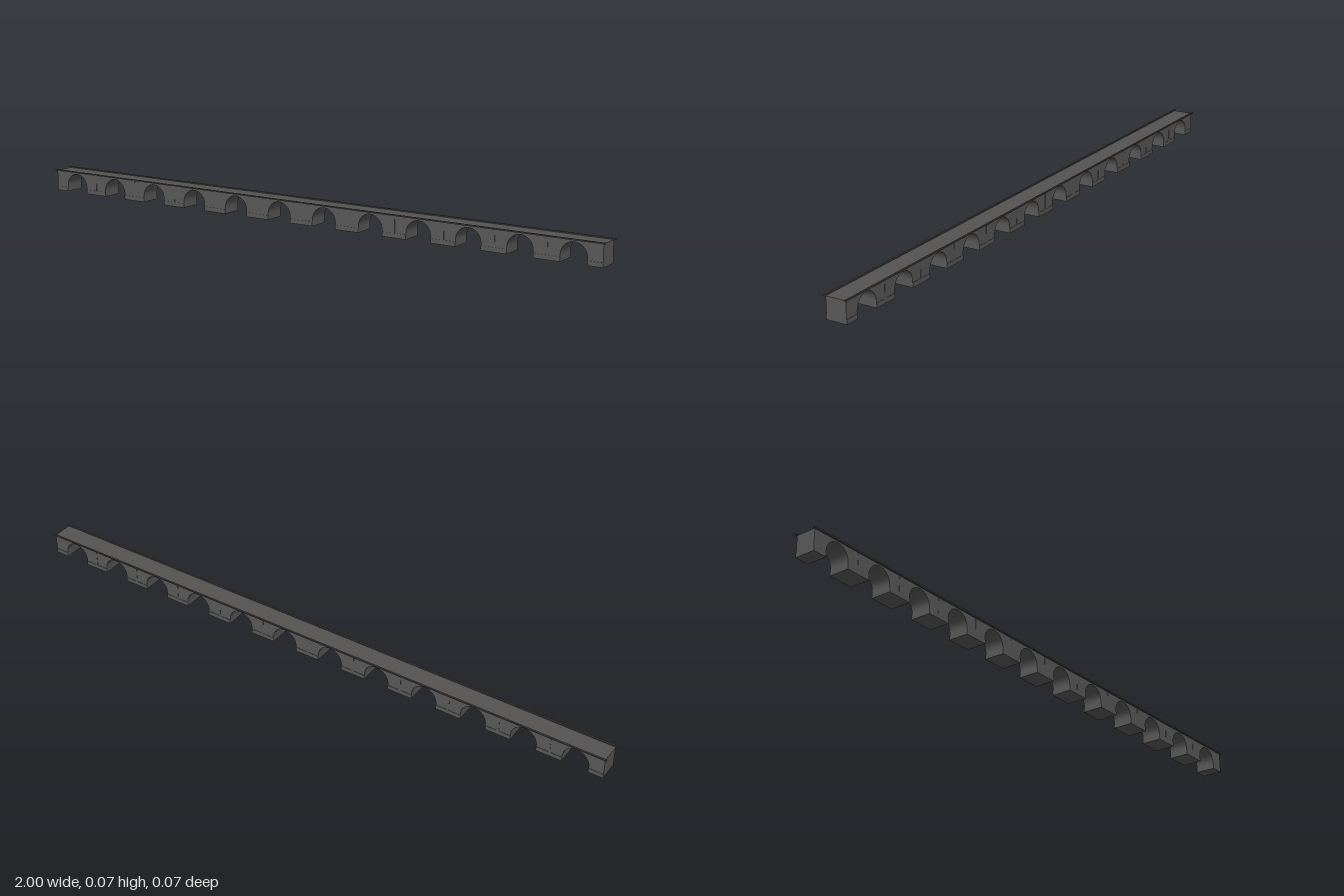
import * as THREE from 'three';

const ARCHES = 12, STEP = 0.165, RADIUS = 0.0415, SPRING = 0.02;
const TOP = 0.066, HALF_WIDTH = 0.0325;

export function createModel() {
  const bridge = new THREE.Group();
  bridge.name = 'viaduct';
  const stone = new THREE.MeshStandardMaterial({ color: 0x5a5a5a, flatShading: true });
  const paving = new THREE.MeshStandardMaterial({ color: 0x555452, flatShading: true });
  const iron = new THREE.MeshStandardMaterial({ color: 0x454545, flatShading: true });

  const box = (name, w, h, d, x, y, z, material = stone) => {
    const mesh = new THREE.Mesh(new THREE.BoxGeometry(w, h, d), material);
    mesh.position.set(x, y, z);
    mesh.name = name;
    bridge.add(mesh);
  };

  // Arcade: one outline that climbs through every arch along its lower edge
  const outline = new THREE.Shape();
  outline.moveTo(-0.995, 0);
  for (let i = 0; i < ARCHES; i++) {
    const x = (i - (ARCHES - 1) / 2) * STEP;
    outline.lineTo(x - RADIUS, 0);
    outline.lineTo(x - RADIUS, SPRING);
    outline.absarc(x, SPRING, RADIUS, Math.PI, 0, true);
    outline.lineTo(x + RADIUS, 0);
  }
  outline.lineTo(0.995, 0);
  outline.lineTo(0.995, TOP);
  outline.lineTo(-0.995, TOP);
  outline.closePath();
  const arcadeGeometry = new THREE.ExtrudeGeometry(outline, {
    depth: HALF_WIDTH * 2, bevelEnabled: false, curveSegments: 10,
  });
  arcadeGeometry.translate(0, 0, -HALF_WIDTH);
  const arcade = new THREE.Mesh(arcadeGeometry, stone);
  arcade.name = 'arcade';
  bridge.add(arcade);

  // Pier footings, with a shallow pilaster on both faces of each full pier
  for (let i = 0; i <= ARCHES; i++) {
    const x = (i - ARCHES / 2) * STEP;
    const left = Math.max(x - STEP / 2 + RADIUS, -0.995);
    const right = Math.min(x + STEP / 2 - RADIUS, 0.995);
    box('pierFooting', right - left, 0.014, 0.067, (left + right) / 2, 0.007, 0);
    if (i === 0 || i === ARCHES) continue;
    for (const side of [-1, 1]) {
      box('pilaster', 0.006, TOP - 0.014, 0.001, x, (TOP + 0.014) / 2, side * (HALF_WIDTH + 0.0004));
    }
  }

  // Deck surface and overhanging edge rails
  box('deck', 1.99, 0.001, 0.064, 0, TOP + 0.0004, 0, paving);
  for (const side of [-1, 1]) {
    box('edgeRail', 2, 0.004, 0.005, 0, 0.0685, side * 0.0345, iron);
  }
  return bridge;
}
